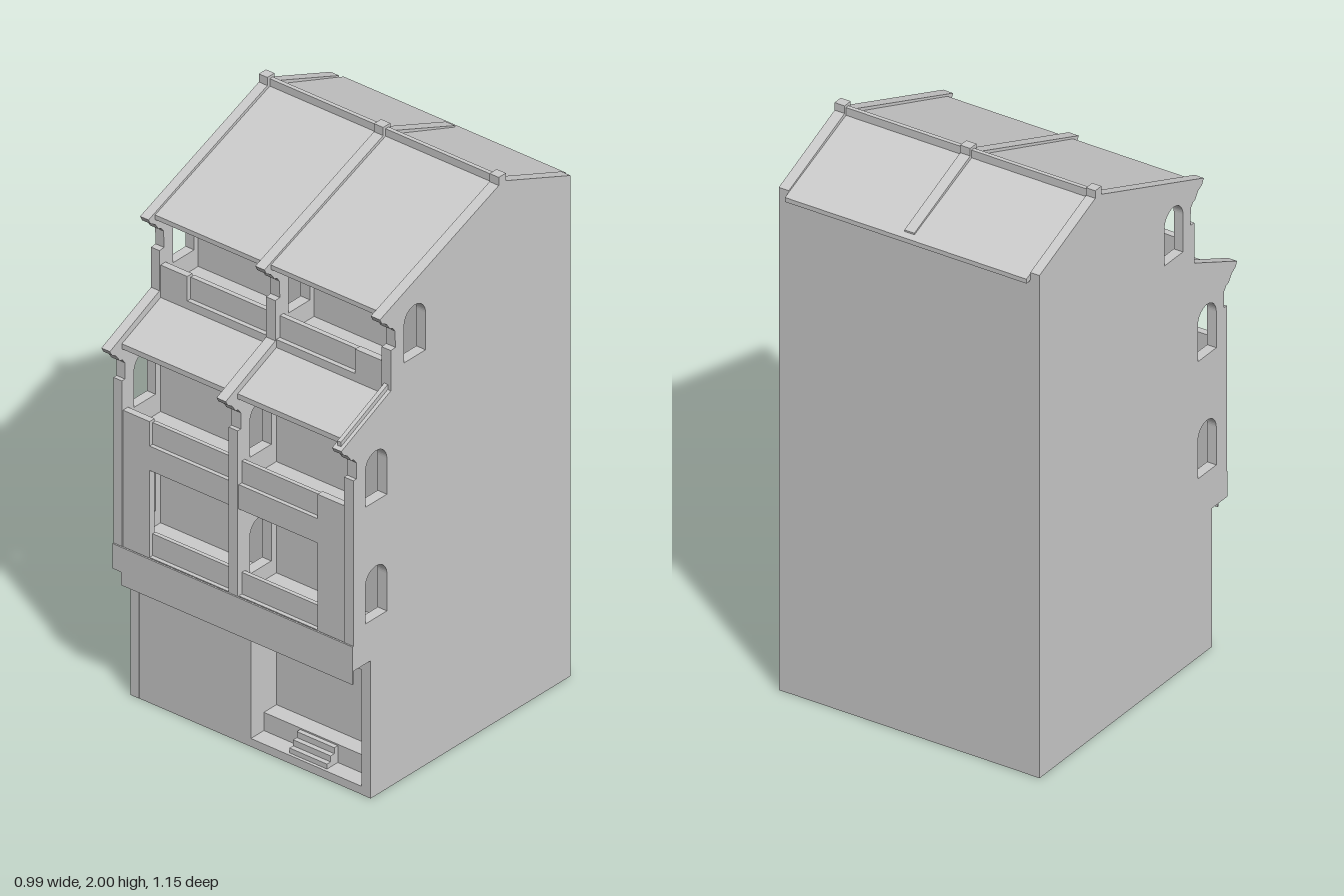
import * as THREE from 'three';

const material = new THREE.MeshStandardMaterial({ color: 0xcccccc, flatShading: true, side: THREE.DoubleSide });

export function createModel() {
  const house = new THREE.Group();
  house.name = 'townhouse';

  function add(name, geometry) {
    const mesh = new THREE.Mesh(geometry, material);
    mesh.name = name;
    house.add(mesh);
    return mesh;
  }

  // Box given by its extents
  function box(name, x0, x1, y0, y1, z0, z1) {
    const g = new THREE.BoxGeometry(x1 - x0, y1 - y0, z1 - z0);
    g.translate((x0 + x1) / 2, (y0 + y1) / 2, (z0 + z1) / 2);
    return add(name, g);
  }

  // Side profile of [z, y] points extruded across x
  function profile(name, points, x0, x1, holes = []) {
    const shape = new THREE.Shape(points.map(([z, y]) => new THREE.Vector2(z, y)));
    shape.holes.push(...holes);
    const g = new THREE.ExtrudeGeometry(shape, { depth: x1 - x0, bevelEnabled: false, curveSegments: 12 });
    g.rotateY(-Math.PI / 2);
    g.translate(x1, 0, 0);
    return add(name, g);
  }

  // Round-headed window opening
  function arch(z0, z1, y0, y1) {
    const r = (z1 - z0) / 2;
    const p = new THREE.Path();
    p.moveTo(z0, y0);
    p.lineTo(z1, y0);
    p.lineTo(z1, y1 - r);
    p.absarc((z0 + z1) / 2, y1 - r, r, 0, Math.PI, false);
    p.lineTo(z0, y0);
    return p;
  }
  const windows = () => [
    arch(0.35, 0.455, 0.655, 0.845),
    arch(0.35, 0.455, 1.085, 1.27),
    arch(0.16, 0.265, 1.53, 1.72),
  ];

  // Party walls: stepped gable with corbelled ends and a ridge block
  const gable = [
    [-0.553, 1.845], [-0.235, 1.972], [-0.235, 2], [-0.2, 2], [-0.2, 1.97],
    [0.384, 1.743], [0.374, 1.724], [0.352, 1.712], [0.34, 1.696], [0.336, 1.688],
    [0.322, 1.684], [0.31, 1.668], [0.308, 1.607], [0.33, 1.605], [0.33, 1.457],
    [0.574, 1.345], [0.565, 1.328], [0.543, 1.314], [0.531, 1.298], [0.527, 1.29],
    [0.512, 1.286], [0.5, 1.27], [0.5, 1.21], [0.515, 1.21], [0.515, 0.6],
    [0.52, 0.6], [0.52, 0.508], [0.43, 0.508],
  ];
  const outer = [[0.43, 0], [-0.553, 0], ...gable];
  const inner = [[-0.553, 0.508], ...gable];
  profile('leftPartyWall', outer, 0.457, 0.495, windows());
  profile('rightPartyWall', outer, -0.495, -0.46, windows());
  profile('middlePartyWall', inner, -0.02, 0.018, windows());
  profile('copingStrip', [[0.33, 1.455], [0.33, 1.475], [0.56, 1.368], [0.56, 1.35]], 0.467, 0.482);

  // Back wall
  box('backWall', -0.494, 0.494, 0, 1.838, -0.552, -0.53);

  // Ground floor front with entrance alcove
  box('groundFrontWall', -0.494, 0, 0, 0.508, 0.405, 0.429);
  box('entranceSill', 0, 0.457, 0, 0.03, 0.29, 0.429);
  box('entranceLintel', 0, 0.457, 0.46, 0.508, 0.29, 0.429);
  box('alcoveSide', -0.015, 0, 0, 0.508, 0.29, 0.405);
  box('alcoveBack', 0, 0.457, 0.03, 0.46, 0.29, 0.303);
  box('entranceDeck', 0, 0.457, 0.03, 0.097, 0.303, 0.365);
  for (let i = 0; i < 3; i++) {
    box('entranceStep', 0.15, 0.305, 0.03, 0.048 + i * 0.022, 0.36, 0.418 - i * 0.018);
  }

  // Overhang soffit and hanging band
  box('overhangSoffit', -0.46, 0.457, 0.508, 0.52, 0.31, 0.515);
  box('hangingBand', -0.46, 0.495, 0.46, 0.6, 0.514, 0.52);

  for (const [name, side, a, pier, b] of [['rightBay', -1, -0.46, -0.35, -0.02], ['leftBay', 1, 0.457, 0.343, 0.018]]) {
    // Span between two x values, whichever side of the house it is on
    const span = (part, xa, xb, ...rest) => box(name + part, Math.min(xa, xb), Math.max(xa, xb), ...rest);

    // Lower loggias: slabs, pier and recessed parapets
    span('BackPanel', a, b, 0.51, 1.42, 0.31, 0.325);
    span('Pier', a, pier, 0.51, 1.1, 0.485, 0.51);
    span('FirstSlab', a, b, 0.51, 0.6, 0.32, 0.51);
    span('FirstParapet', pier, b, 0.6, 0.68, 0.48, 0.495);
    span('SecondSlab', a, b, 0.92, 1.01, 0.32, 0.51);
    span('SecondParapet', pier, b, 1.01, 1.09, 0.48, 0.495);

    // Top loggia
    span('TopBackPanel', a, b, 1.42, 1.81, 0.125, 0.14);
    span('TopSlab', a, b, 1.4, 1.46, 0.13, 0.325);
    span('TopPier', a, pier, 1.4, 1.55, 0.3, 0.325);
    span('TopParapet', pier, b, 1.45, 1.54, 0.29, 0.308);

    // Roof sheets sunk between the party walls
    const x0 = Math.min(a, b), x1 = Math.max(a, b);
    profile(name + 'LowerRoof', [[0.31, 1.415], [0.31, 1.437], [0.515, 1.347], [0.515, 1.328]], x0, x1);
    profile(name + 'FrontRoof', [[-0.218, 1.945], [-0.218, 1.965], [0.352, 1.747], [0.352, 1.73]], x0, x1);
  }

  // Back roof sheet with gutter lip, and ridge bar
  const backRoof = [[-0.218, 1.945], [-0.218, 1.965], [-0.575, 1.831], [-0.575, 1.815], [-0.56, 1.815]];
  profile('backRoof', backRoof, -0.46, 0.457);
  box('ridgeBar', -0.46, 0.457, 1.95, 1.99, -0.227, -0.212);

  return house;
}
